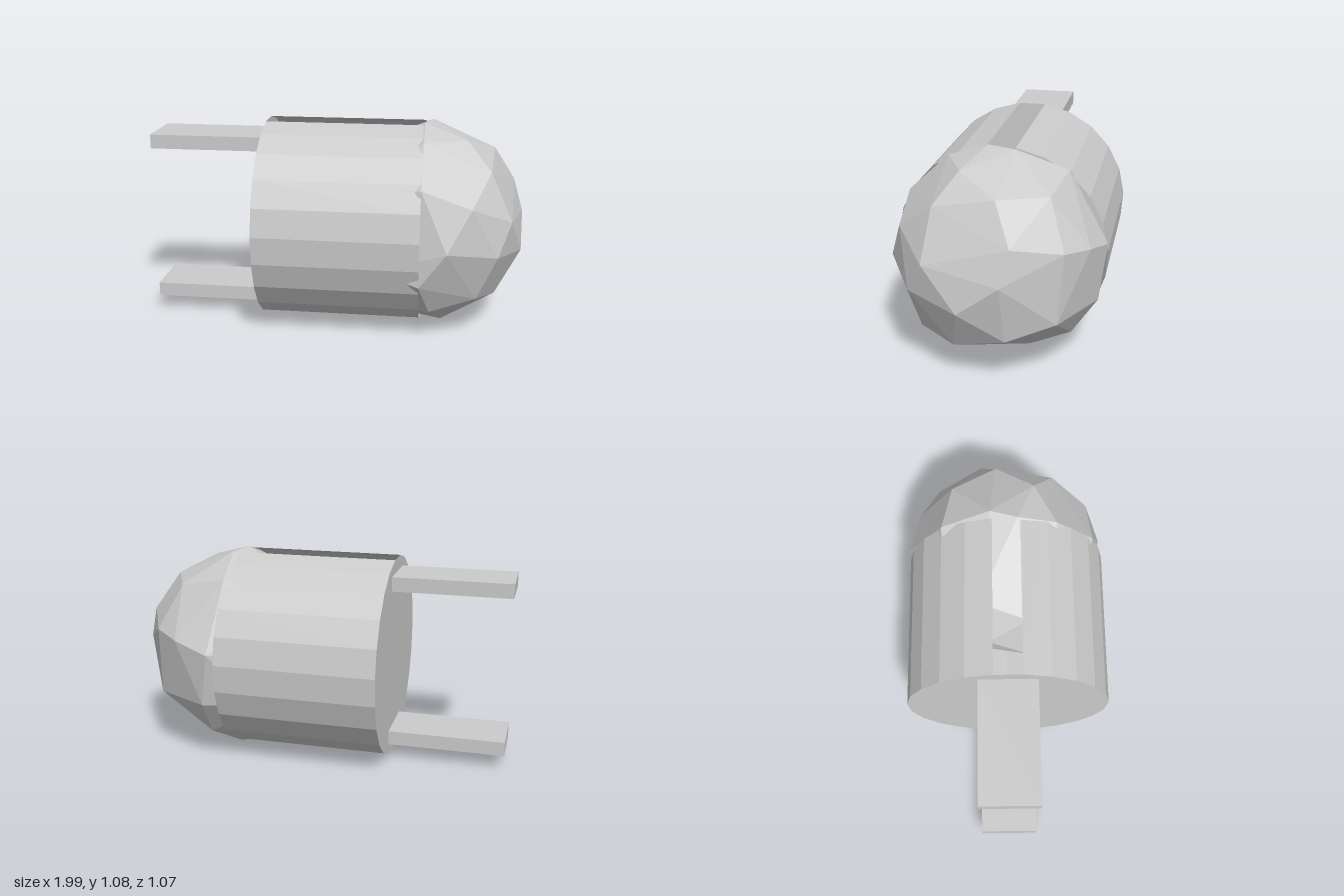
import * as THREE from 'three';
import { ConvexGeometry } from 'three/addons/geometries/ConvexGeometry.js';

const SIDES = 23, RADIUS = 0.537, MID = 0.54;
const BACK = -0.385, FRONT = 0.455, DOME = 0.545;

// corners of the faceted dome, as [y, z]; x follows from the sphere
const DOME_POINTS = [
  [0.424, 0.104], [0.58, -0.101], [0.75, -0.141], [0.938, -0.052], [0.629, 0.283],
  [0.465, 0.372], [0.193, 0.153], [0.271, -0.113], [0.34, -0.343], [0.698, -0.372],
  [0.929, -0.286], [0.877, 0.254], [0.733, 0.444], [1.016, 0.15], [0.228, 0.34],
  [0.675, -0.476], [0.626, -0.537], [0.343, -0.502], [0.15, -0.372], [0.012, -0.15],
  [0.032, 0.162], [0.165, 0.392], [0.338, 0.508], [0.525, 0.528], [0.828, 0.465],
  [1.019, 0.263], [1.082, 0.06], [1.077, -0.084], [0.978, -0.338],
];

export function createModel() {
  const model = new THREE.Group();
  const solid = new THREE.MeshStandardMaterial({ color: 0xcccccc, flatShading: true });
  const open = new THREE.MeshStandardMaterial({ color: 0xcccccc, flatShading: true, side: THREE.DoubleSide });
  const add = (name, geometry, material, x, y) => {
    const mesh = new THREE.Mesh(geometry, material);
    mesh.name = name;
    mesh.position.set(x, y, 0);
    model.add(mesh);
  };

  // hollow barrel with one missing strip along the top
  const half = Math.PI / SIDES;
  const barrel = new THREE.CylinderGeometry(RADIUS, RADIUS, FRONT - BACK, SIDES - 1, 1, true,
    1.5 * Math.PI + half, 2 * Math.PI - 2 * half);
  barrel.rotateZ(-Math.PI / 2);
  add('barrel', barrel, open, (FRONT + BACK) / 2, MID);

  // flat end behind the barrel
  const cap = new THREE.CircleGeometry(RADIUS, SIDES, Math.PI / 2 + half);
  cap.rotateY(-Math.PI / 2);
  add('endCap', cap, open, BACK, MID);

  // faceted ball: its front half is the dome, its rear half sits in the barrel
  const points = [];
  for (const [py, z] of DOME_POINTS) {
    const y = py - MID;
    const x = Math.sqrt(Math.max(0, DOME * DOME - y * y - z * z));
    const p = new THREE.Vector3(x, y, z);
    points.push(p);
    if (x > 0.15) points.push(p.clone().negate());
  }
  add('dome', new ConvexGeometry(points), solid, FRONT, MID);

  // two flat prongs
  for (const [name, y] of [['upperProng', 0.9625], ['lowerProng', 0.1175]]) {
    add(name, new THREE.BoxGeometry(1 + BACK, 0.075, 0.3), solid, (BACK - 1) / 2, y);
  }
  return model;
}
